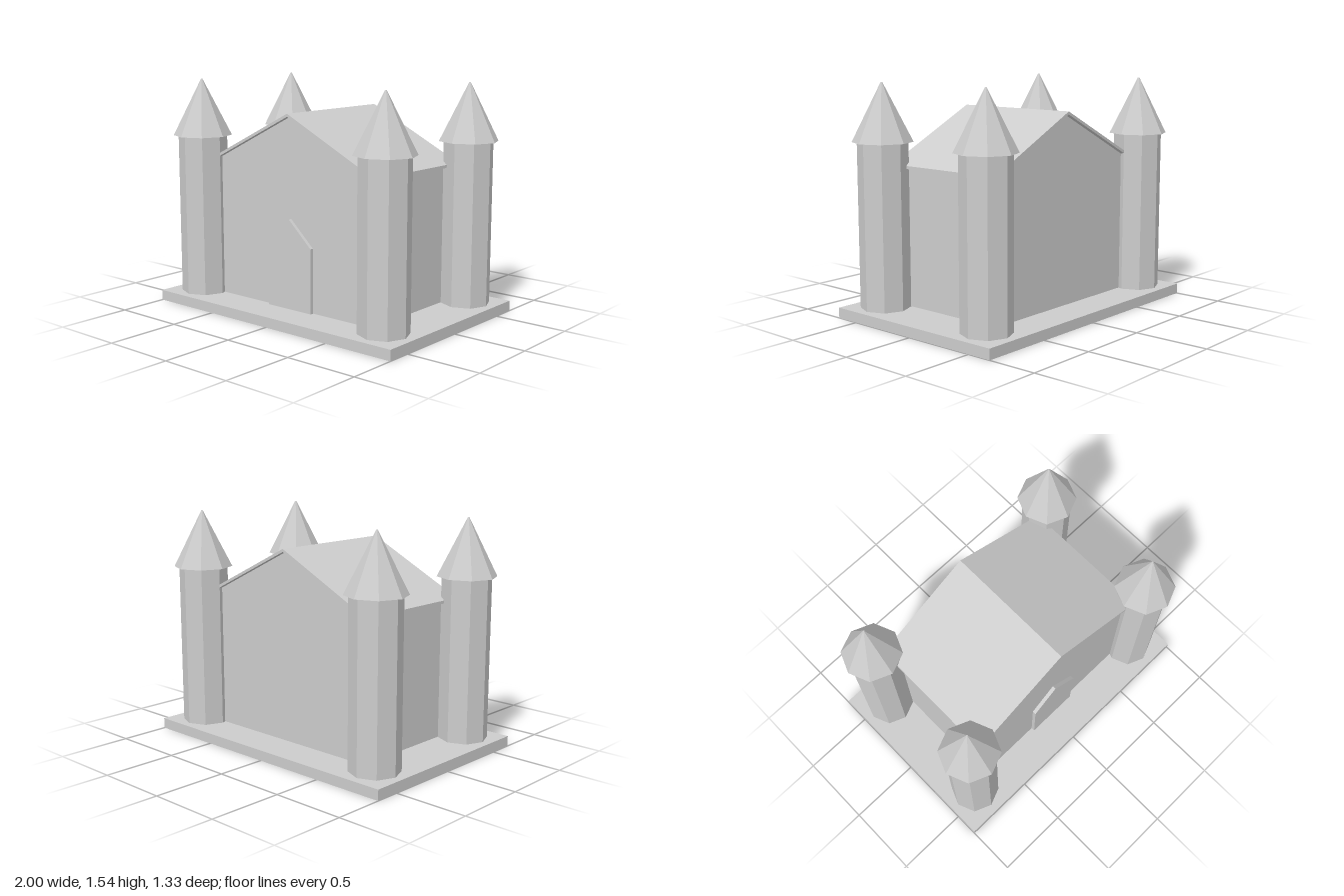
import * as THREE from 'three';

const stone = new THREE.MeshStandardMaterial({ color: 0xcccccc, flatShading: true });
stone.name = 'pale stone';

function add(parent, name, geometry, x = 0, y = 0, z = 0) {
  const mesh = new THREE.Mesh(geometry, stone);
  mesh.name = name;
  mesh.position.set(x, y, z);
  parent.add(mesh);
  return mesh;
}

// Outline in x and y, extruded from z0 to z1
function slab(points, z0, z1) {
  const shape = new THREE.Shape(points.map(([x, y]) => new THREE.Vector2(x, y)));
  const geometry = new THREE.ExtrudeGeometry(shape, { depth: z1 - z0, bevelEnabled: false });
  return geometry.translate(0, 0, z0);
}

export function createModel() {
  const model = new THREE.Group();
  model.name = 'castle';
  const floor = 0.07;

  // Ground plate
  add(model, 'base', new THREE.BoxGeometry(2, floor, 1.334), 0, floor / 2, 0);

  // Hall with gabled ends
  const wallX = 0.665, wallZ = 0.415, ridge = 1.355, slope = 0.492, thick = 0.02;
  const under = (x) => ridge - thick - slope * x;
  add(model, 'hall', slab([
    [-wallX, floor], [wallX, floor], [wallX, under(wallX)], [0, under(0)], [-wallX, under(wallX)],
  ], -wallZ, wallZ));

  // Thin pitched roof overhanging the walls
  const eaveX = 0.705, eaveZ = 0.45, low = under(eaveX);
  add(model, 'roof', slab([
    [-eaveX, low], [0, under(0)], [eaveX, low],
    [eaveX, low + thick], [0, ridge], [-eaveX, low + thick],
  ], -eaveZ, eaveZ));

  // Pointed door on the front wall
  add(model, 'door', slab([
    [-0.185, floor], [0.185, floor], [0.185, 0.5], [0, 0.67], [-0.185, 0.5],
  ], wallZ - 0.01, 0.44));

  // Four octagonal corner towers with spires
  const eaves = 1.16, tip = 1.543;
  for (const sx of [-1, 1]) {
    for (const sz of [-1, 1]) {
      const tower = new THREE.Group();
      tower.name = `${sz > 0 ? 'front' : 'back'}${sx > 0 ? 'Left' : 'Right'}Tower`;
      tower.position.set(sx * 0.784, 0, sz * 0.449);
      add(tower, 'shaft', new THREE.CylinderGeometry(0.165, 0.165, eaves - floor, 8), 0, (eaves + floor) / 2, 0);
      add(tower, 'spire', new THREE.CylinderGeometry(0.005, 0.198, tip - eaves, 8), 0, (tip + eaves) / 2, 0);
      model.add(tower);
    }
  }
  return model;
}
